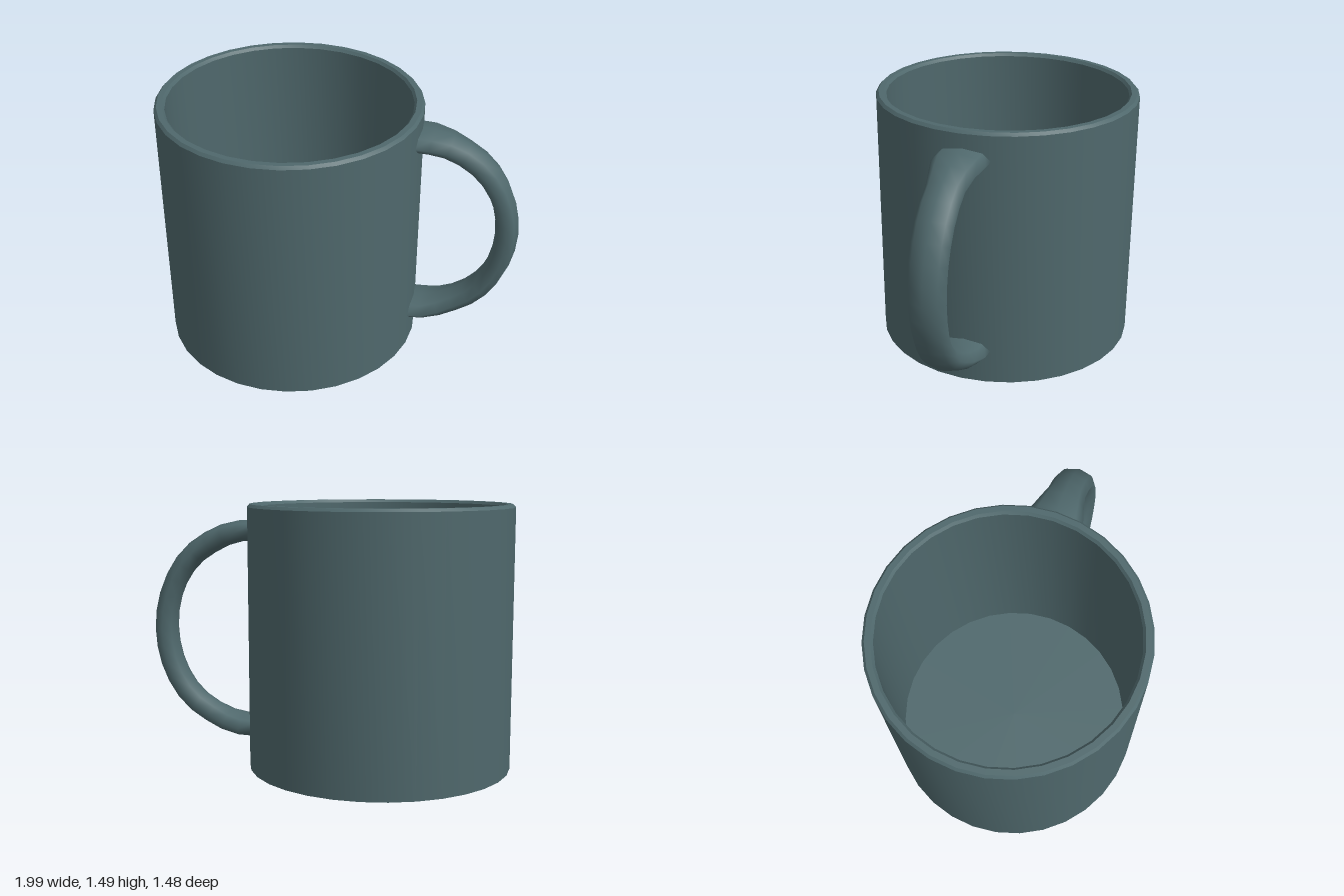
import * as THREE from 'three';
import { toCreasedNormals } from 'three/addons/utils/BufferGeometryUtils.js';

const SIDES = 32;
const HEIGHT = 1.485;

// Hollow cup turned around the y axis: base, outer wall, bevelled rim, inner wall, floor
function cupGeometry() {
  const profile = [
    [0, 0], [0.743, 0], [0.743, HEIGHT - 0.016], [0.729, HEIGHT],
    [0.698, HEIGHT], [0.685, HEIGHT - 0.016], [0.685, 0.07], [0, 0.07],
  ].map(([r, y]) => new THREE.Vector2(r, y));
  const lathe = new THREE.LatheGeometry(profile, SIDES, Math.PI / SIDES);
  return toCreasedNormals(lathe, 0.5);
}

// Oval section swept along a D-shaped path, flaring sideways where it meets the wall
function handleGeometry() {
  const upper = [[0.7, 0.567], [0.79, 0.563], [0.9, 0.535], [1.09, 0.415], [1.205, 0.235]];
  const lower = upper.map(([r, y]) => [r, -y]).reverse();
  const path = new THREE.CatmullRomCurve3(
    [...upper, [1.249, 0], ...lower].map(([r, y]) => new THREE.Vector3(r, 0.765 + y, 0)));

  const rings = 18, around = 8;
  const positions = [], index = [];
  for (let i = 0; i <= rings; i++) {
    const p = path.getPointAt(i / rings);
    const t = path.getTangentAt(i / rings);
    const flare = 1 - THREE.MathUtils.smoothstep(p.x, 0.76, 0.99);
    const halfWidth = 0.106 + 0.047 * flare;
    const halfDepth = 0.065 - 0.005 * flare;
    for (let j = 0; j < around; j++) {
      const a = (j / around) * Math.PI * 2;
      const n = halfDepth * Math.cos(a);
      positions.push(p.x - t.y * n, p.y + t.x * n, halfWidth * Math.sin(a));
      if (i < rings) {
        const k = i * around + j, next = i * around + (j + 1) % around;
        index.push(k, next, k + around, next, next + around, k + around);
      }
    }
  }
  const geometry = new THREE.BufferGeometry();
  geometry.setAttribute('position', new THREE.Float32BufferAttribute(positions, 3));
  geometry.setIndex(index);
  geometry.computeVertexNormals();
  return geometry;
}

export function createModel() {
  const model = new THREE.Group();
  model.name = 'mug';
  const glaze = new THREE.MeshStandardMaterial({ color: 0x4f686c });

  const cup = new THREE.Mesh(cupGeometry(), glaze);
  cup.name = 'cup';
  cup.position.x = -0.261;

  // The handle points slightly towards the back
  const handle = new THREE.Mesh(handleGeometry(), glaze);
  handle.name = 'handle';
  handle.position.x = -0.261;
  handle.rotation.y = Math.PI / 10;

  model.add(cup, handle);
  return model;
}
